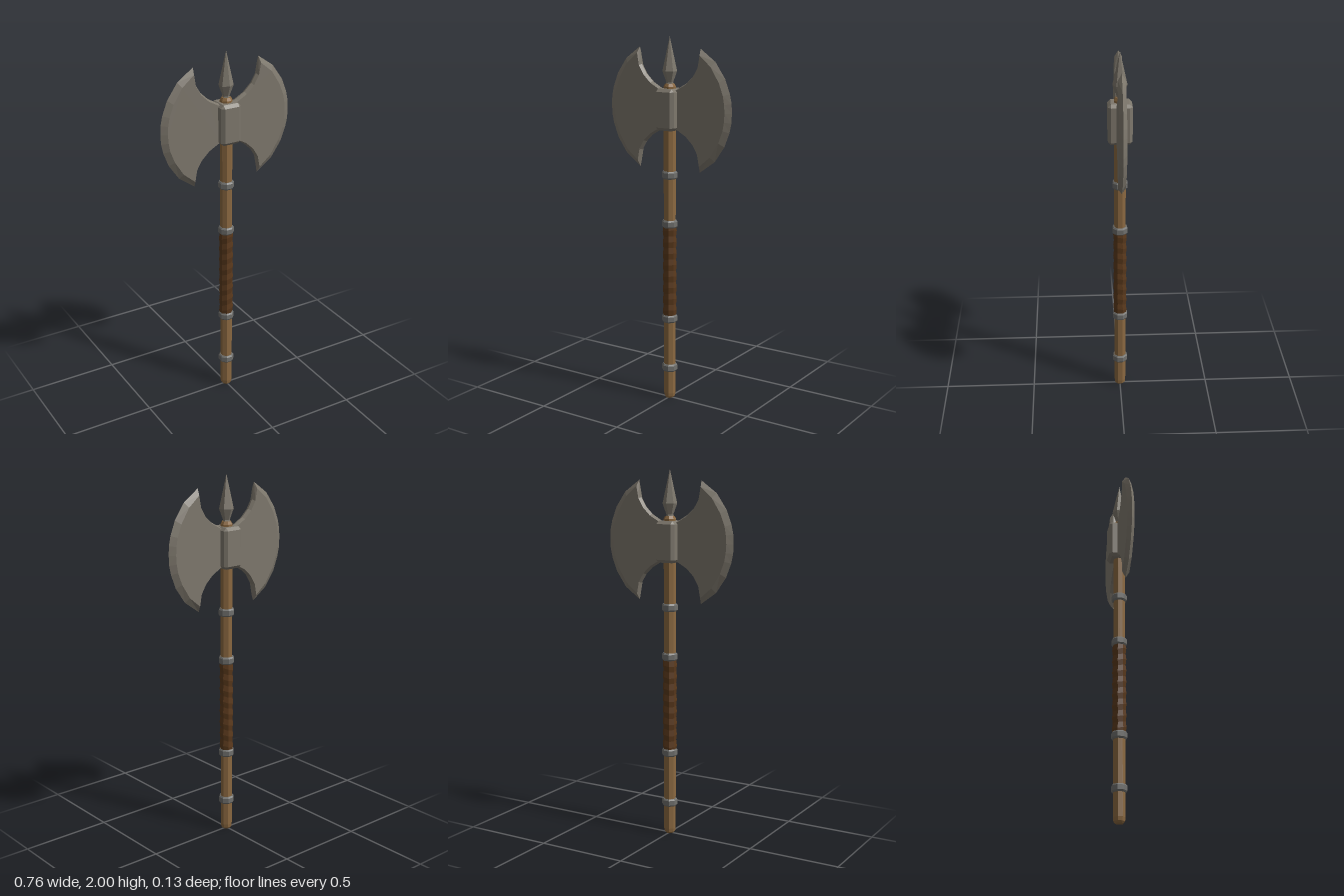
import * as THREE from 'three';
import { ConvexGeometry } from 'three/addons/geometries/ConvexGeometry.js';

const flat = (name, color) => {
  const m = new THREE.MeshStandardMaterial({ color, flatShading: true });
  m.name = name;
  return m;
};

// Faceted solid of revolution from [radius, y] pairs, listed bottom to top
function turned(points, sides, phase = 0) {
  return new THREE.LatheGeometry(points.map(([r, y]) => new THREE.Vector2(r, y)), sides, phase);
}

function faceted(geometry) {
  const g = geometry.index ? geometry.toNonIndexed() : geometry;
  g.computeVertexNormals();
  return g;
}

// Box with every edge chamfered by c
function chamferedBox(w, h, d, c) {
  const pts = [];
  for (const x of [-1, 1]) for (const y of [-1, 1]) for (const z of [-1, 1]) {
    for (let full = 0; full < 3; full++) {
      const half = [w, h, d].map((s, i) => s / 2 - (i === full ? 0 : c));
      pts.push(new THREE.Vector3(x * half[0], y * half[1], z * half[2]));
    }
  }
  return new ConvexGeometry(pts);
}

// Crescent blade: sharp outline at z = 0, flat cheeks inset at z = +-t
function bladeGeometry(midY, t) {
  // outline x, y then cheek x, y (y above the middle), from cutting edge to root
  const upper = [
    [0.378, 0.05, 0.345, 0.045], [0.367, 0.1, 0.337, 0.09], [0.338, 0.175, 0.312, 0.155],
    [0.28, 0.258, 0.262, 0.233], [0.19, 0.322, 0.196, 0.288], [0.178, 0.23, 0.184, 0.224],
    [0.15, 0.183, 0.155, 0.176], [0.108, 0.143, 0.112, 0.135], [0.06, 0.115, 0.06, 0.106],
    [0.04, 0.105, 0.04, 0.097],
  ];
  const lower = upper.map(([a, b, c, d]) => [a, -b, c, -d]).reverse();
  const loop = [...lower, [0.38, 0, 0.348, 0], ...upper];
  const edge = loop.map((p) => [p[0], midY + p[1], 0]);
  const cheek = loop.map((p) => [p[2], midY + p[3], t]);
  const pos = [];
  const tri = (a, b, c) => {
    pos.push(...a, ...b, ...c);
    for (const p of [c, b, a]) pos.push(p[0], p[1], -p[2]);
  };
  loop.forEach((_, i) => {
    const j = (i + 1) % loop.length;
    tri(edge[i], edge[j], cheek[j]);
    tri(edge[i], cheek[j], cheek[i]);
  });
  const contour = cheek.map((p) => new THREE.Vector2(p[0], p[1]));
  for (const [a, b, c] of THREE.ShapeUtils.triangulateShape(contour, [])) tri(cheek[a], cheek[b], cheek[c]);
  const g = new THREE.BufferGeometry();
  g.setAttribute('position', new THREE.Float32BufferAttribute(pos, 3));
  return g;
}

export function createModel() {
  const steel = flat('steel', 0x7d776c);
  const iron = flat('iron', 0x6f6f6c);
  const wood = flat('wood', 0x8a6840);
  const leather = flat('leather', 0x5a391c);

  const model = new THREE.Group();
  model.name = 'battleAxe';
  const add = (name, geometry, material) => {
    const mesh = new THREE.Mesh(faceted(geometry), material);
    mesh.name = name;
    model.add(mesh);
    return mesh;
  };
  const oct = Math.PI / 8;

  // Shaft with rounded butt and a stub above the head
  add('shaft', turned([[0, 0], [0.022, 0], [0.03, 0.01], [0.033, 0.03], [0.033, 1.74],
    [0.025, 1.755], [0, 1.755]], 8, oct), wood);

  // Leather grip: bulging wraps, slightly slanted
  const wraps = 8, y0 = 0.475, y1 = 0.99;
  const profile = [];
  for (let i = 0; i <= wraps * 2; i++) {
    profile.push([i % 2 ? 0.039 : 0.035, y0 + ((y1 - y0) * i) / (wraps * 2)]);
  }
  const grip = turned(profile, 8, oct);
  const p = grip.attributes.position;
  for (let i = 0; i < p.count; i++) p.setY(i, p.getY(i) + (p.getX(i) + p.getZ(i)) * 0.2);
  add('grip', grip, leather);

  // Metal bands
  for (const y of [0.18, 0.465, 1.0, 1.268]) {
    const band = turned([[0.03, -0.021], [0.037, -0.021], [0.043, -0.013], [0.043, 0.013],
      [0.037, 0.021], [0.03, 0.021]], 8, oct);
    add('band', band, iron).position.y = y;
  }

  // Head block
  add('headBlock', chamferedBox(0.116, 0.22, 0.128, 0.016), steel).position.y = 1.62;

  // Twin blades
  add('leftBlade', bladeGeometry(1.62, 0.02), steel);
  add('rightBlade', bladeGeometry(1.62, 0.02), steel).rotation.y = Math.PI;

  // Six-sided top spike
  add('spike', turned([[0, 1.745], [0.022, 1.745], [0.018, 1.762], [0.039, 1.82], [0, 2]], 6), steel);

  return model;
}
